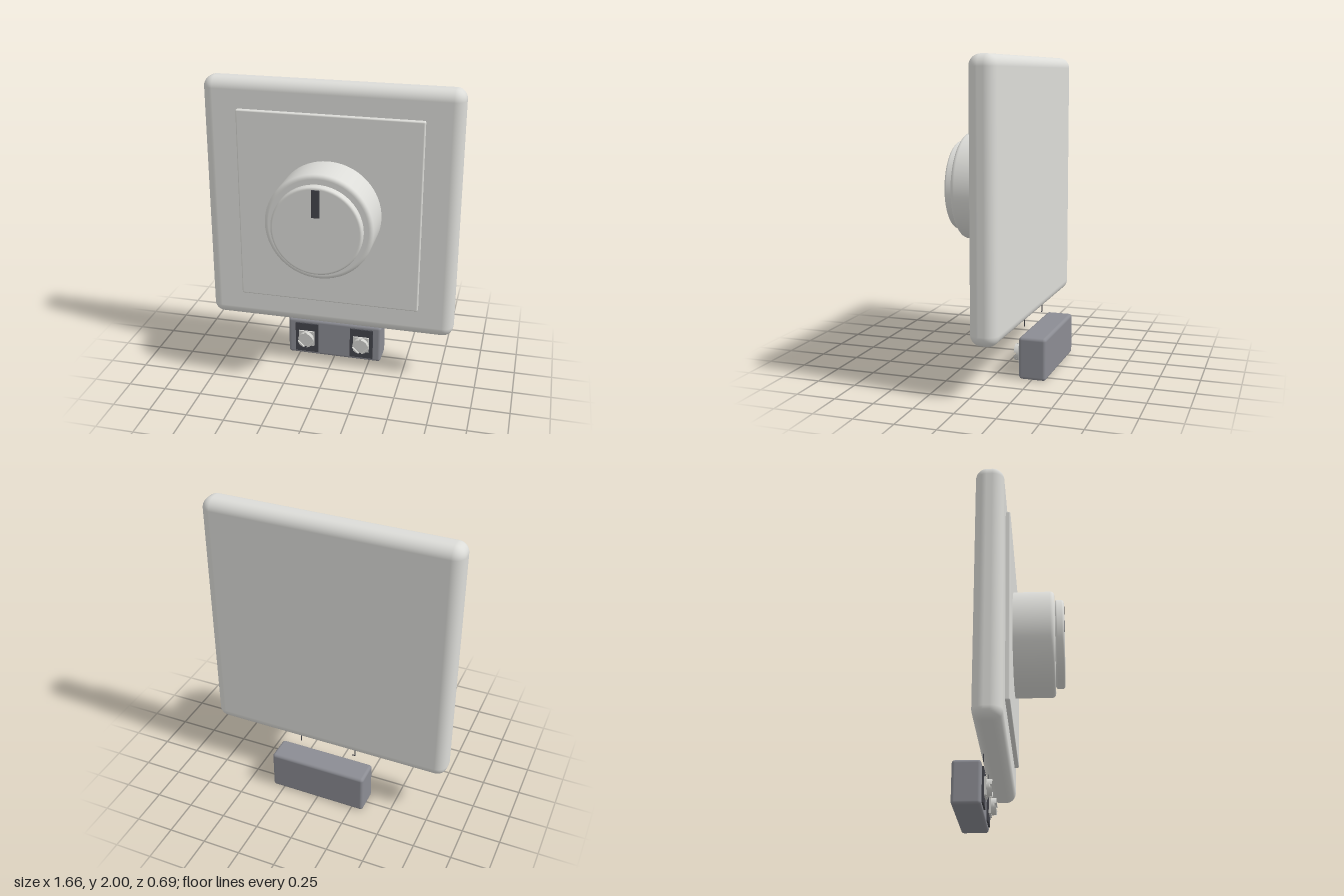
import * as THREE from 'three';
import { RoundedBoxGeometry } from 'three/addons/geometries/RoundedBoxGeometry.js';

const mat = (name, color) => {
  const m = new THREE.MeshStandardMaterial({ color });
  m.name = name;
  return m;
};

export function createModel() {
  const white = mat('warmWhite', 0xdcdcd8);
  const grey = mat('blockGrey', 0x8b8c93);
  const dark = mat('darkGrey', 0x44454c);
  const metal = mat('screwMetal', 0xd2d2ce);

  const model = new THREE.Group();
  model.name = 'dimmerSwitch';
  const add = (name, geometry, material, x = 0, y = 0, z = 0, parent = model) => {
    const mesh = new THREE.Mesh(geometry, material);
    mesh.name = name;
    mesh.position.set(x, y, z);
    parent.add(mesh);
    return mesh;
  };
  // Rounded box between two corners
  const slab = (name, material, [x0, y0, z0], [x1, y1, z1], radius, segments, parent) =>
    add(name, new RoundedBoxGeometry(x1 - x0, y1 - y0, z1 - z0, segments, radius), material,
      (x0 + x1) / 2, (y0 + y1) / 2, (z0 + z1) / 2, parent);
  // Disc along z with rounded front rim and support loops for crisp shading
  const knobDisc = (radius, z0, z1, rim, backRim = 0.002) => {
    const pts = [[0, z0], [radius - backRim - 0.003, z0]];
    const arc = (r, zc, from) => {
      for (let i = 0; i <= 6; i++) {
        const a = from + (i / 6) * Math.PI / 2;
        pts.push([radius - r + r * Math.cos(a), zc + r * Math.sin(a)]);
      }
    };
    arc(backRim, z0 + backRim, -Math.PI / 2);
    pts.push([radius, z0 + backRim + 0.003], [radius, z1 - rim - 0.003]);
    arc(rim, z1 - rim, 0);
    pts.push([radius - rim - 0.003, z1], [0, z1]);
    return new THREE.LatheGeometry(pts.map(p => new THREE.Vector2(...p)), 64).rotateX(Math.PI / 2);
  };

  // Wall plate and raised centre panel
  slab('wallPlate', white, [-0.83, 0.335, -0.19], [0.83, 2, -0.015], 0.07, 6);
  slab('centrePanel', white, [-0.6, 0.53, -0.05], [0.6, 1.81, 0.014], 0.009, 3);

  // Rotary knob
  const knob = new THREE.Group();
  knob.name = 'knob';
  knob.position.y = 1.17;
  model.add(knob);
  add('knobBody', knobDisc(0.347, 0.012, 0.278, 0.025), white, 0, 0, 0, knob);
  add('knobNeck', new THREE.CylinderGeometry(0.275, 0.275, 0.03, 64).rotateX(Math.PI / 2), white, 0, 0, 0.28, knob);
  add('knobCap', knobDisc(0.29, 0.281, 0.338, 0.014, 0.01), white, 0, 0, 0, knob);
  slab('indicator', dark, [-0.025, 0.093, 0.325], [0.025, 0.272, 0.344], 0.003, 2, knob);

  // Terminal block
  const block = new THREE.Group();
  block.name = 'terminalBlock';
  model.add(block);
  slab('blockBody', grey, [-0.33, 0.005, -0.342], [0.33, 0.275, -0.167], 0.02, 4, block);

  // A quarter of a screw head, leaving room for the cross slot
  const gap = 0.008, r = 0.054;
  const a = Math.asin(gap / r);
  const quarter = new THREE.Shape();
  quarter.moveTo(gap, gap);
  quarter.absarc(0, 0, r, a, Math.PI / 2 - a, false);
  quarter.closePath();
  const quarterGeo = new THREE.ExtrudeGeometry(quarter, { depth: 0.016, bevelEnabled: false, curveSegments: 10 });

  for (const side of [-1, 1]) {
    const terminal = new THREE.Group();
    terminal.name = side < 0 ? 'rightTerminal' : 'leftTerminal';
    terminal.position.set(side * 0.195, 0.14, 0);
    block.add(terminal);
    add('terminalPad', new THREE.BoxGeometry(0.162, 0.218, 0.014), dark, 0, 0, -0.163, terminal);
    add('clampPlate', new THREE.BoxGeometry(0.11, 0.11, 0.014), metal, 0, 0, -0.15, terminal);
    add('screwHead', new THREE.CylinderGeometry(r, r, 0.018, 40).rotateX(Math.PI / 2), metal, 0, 0, -0.135, terminal);
    for (let i = 0; i < 4; i++) {
      add('screwHeadQuarter', quarterGeo, metal, 0, 0, -0.126, terminal).rotation.z = i * Math.PI / 2;
    }

    // Fine wire under the plate, one with a bent foot
    const wire = (name, w, h, x, y) =>
      add(name, new THREE.BoxGeometry(w, h, 0.004), dark, x, y, -0.165);
    wire('wire', 0.005, 0.05, side < 0 ? -0.202 : 0.194, 0.332);
    if (side < 0) wire('wireFoot', 0.02, 0.005, -0.193, 0.308);
  }
  return model;
}
